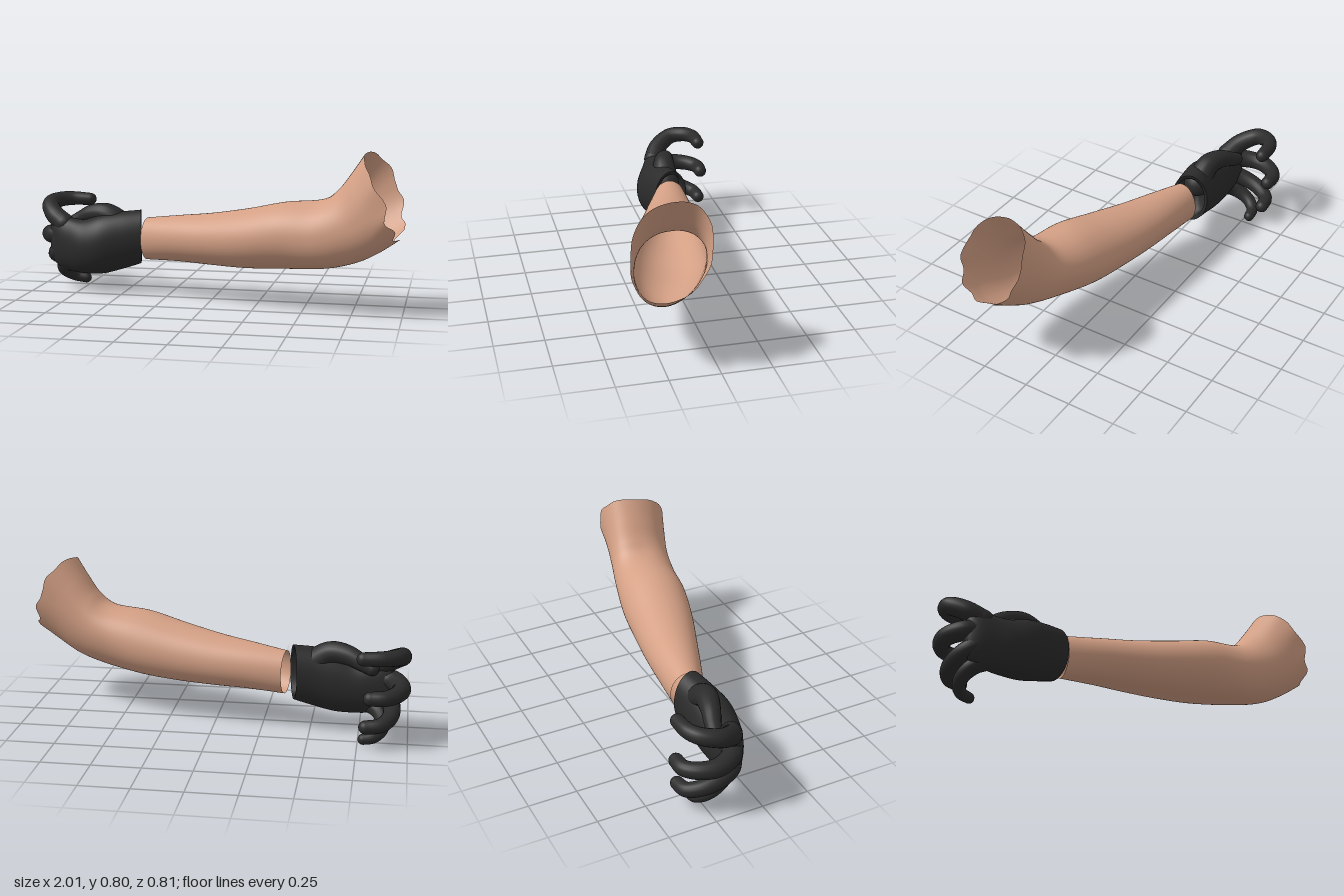
import * as THREE from 'three';

const V = (x, y, z) => new THREE.Vector3(x, y, z);
const ring = (T, B, F, K, e = 1) => ({ T: V(...T), B: V(...B), F: V(...F), K: V(...K), e });

// upright cross-section at x, sheared so its front and back lie ahead of or behind it
function section(x, shear, yB, yT, zK, zF) {
  const y = (yB + yT) / 2, z = (zK + zF) / 2, d = shear * (zF - zK) / 2;
  return ring([x, yT, z], [x, yB, z], [x + d, y, zF], [x - d, y, zK]);
}

// point on the rounded outline through a ring's top, front, bottom and back
function outline(r, a) {
  const c = r.T.clone().add(r.B).add(r.F).add(r.K).multiplyScalar(0.25);
  const cs = Math.cos(a), sn = Math.sin(a);
  const e = cs > 0 ? r.e : 1;
  const p = c.clone();
  p.addScaledVector((cs > 0 ? r.T : r.B).clone().sub(c), Math.pow(Math.abs(cs), e));
  p.addScaledVector((sn > 0 ? r.F : r.K).clone().sub(c), Math.pow(Math.abs(sn), e));
  return p;
}

// smooth skin through a list of rings
function loft(rings, rows, sides, edit) {
  const pos = [], idx = [];
  const lines = [];
  for (let j = 0; j < sides; j++) {
    const a = j / sides * Math.PI * 2;
    lines.push(new THREE.CatmullRomCurve3(rings.map(r => outline(r, a)), false, 'catmullrom', 0.5));
  }
  for (let i = 0; i <= rows; i++) {
    for (let j = 0; j < sides; j++) {
      const p = lines[j].getPoint(i / rows);
      if (edit) edit(p, i / rows, j / sides * Math.PI * 2);
      pos.push(p.x, p.y, p.z);
      if (i < rows) {
        const k = (j + 1) % sides, a = i * sides;
        idx.push(a + j, a + k, a + sides + j, a + k, a + sides + k, a + sides + j);
      }
    }
  }
  const g = new THREE.BufferGeometry();
  g.setAttribute('position', new THREE.Float32BufferAttribute(pos, 3));
  g.setIndex(idx);
  g.computeVertexNormals();
  return g;
}

// tapered tube with round tip
function finger(name, r0, r1, pts, mat) {
  const group = new THREE.Group();
  group.name = name;
  const curve = new THREE.CatmullRomCurve3(pts.map(p => V(...p)));
  const n = 32, m = 18;
  const g = new THREE.TubeGeometry(curve, n, 1, m);
  const P = g.attributes.position, p = V(0, 0, 0);
  for (let i = 0; i <= n; i++) {
    const c = curve.getPointAt(i / n), r = r0 + (r1 - r0) * i / n;
    for (let j = 0; j <= m; j++) {
      const k = i * (m + 1) + j;
      p.fromBufferAttribute(P, k).sub(c).multiplyScalar(r).add(c);
      P.setXYZ(k, p.x, p.y, p.z);
    }
  }
  const tube = new THREE.Mesh(g, mat);
  tube.name = name + 'Tube';
  group.add(tube);
  for (const [end, r] of [[0, r0], [1, r1]]) {
    const ball = new THREE.Mesh(new THREE.SphereGeometry(r, 18, 12), mat);
    ball.name = name + (end ? 'Tip' : 'Knuckle');
    ball.position.copy(curve.getPointAt(end));
    group.add(ball);
  }
  return group;
}

export function createModel() {
  const model = new THREE.Group();
  model.name = 'glovedArm';
  const skin = new THREE.MeshStandardMaterial({ color: 0xd4a085, side: THREE.DoubleSide });
  skin.name = 'skin';
  const glove = new THREE.MeshStandardMaterial({ color: 0x2b2b2b, side: THREE.DoubleSide });
  glove.name = 'gloveBlack';
  const add = (name, geo, mat) => {
    const mesh = new THREE.Mesh(geo, mat);
    mesh.name = name;
    model.add(mesh);
  };

  // arm: open at the wrist, bent at the elbow, ragged at the upper end
  const armRings = [
    section(-0.37, -0.22, 0.185, 0.41, -0.165, 0.005),
    section(-0.18, -0.25, 0.19, 0.435, -0.15, 0.08),
    section(0, -0.25, 0.187, 0.458, -0.13, 0.15),
    section(0.2, -0.25, 0.187, 0.495, -0.1, 0.225),
    section(0.4, -0.22, 0.2, 0.54, -0.068, 0.285),
    ring([0.59, 0.56, 0.15], [0.62, 0.222, 0.17], [0.55, 0.38, 0.32], [0.62, 0.42, -0.025]),
    ring([0.67, 0.615, 0.16], [0.77, 0.262, 0.2], [0.71, 0.43, 0.347], [0.75, 0.48, 0.01], 0.93),
    ring([0.735, 0.7, 0.18], [0.88, 0.32, 0.23], [0.82, 0.5, 0.378], [0.86, 0.56, 0.028], 0.85),
    ring([0.8, 0.797, 0.195], [0.97, 0.385, 0.24], [0.91, 0.57, 0.405], [0.96, 0.63, 0.035], 0.78),
  ];
  add('arm', loft(armRings, 64, 72, (p, t, a) => {
    const s = Math.max(0, (t - 0.88) / 0.12) * (1 - Math.cos(a)) / 2;
    const w = Math.sin(9 * a) * 0.7 + Math.sin(5 * a + 1) * 0.3;
    p.x = Math.min(1, p.x + 0.026 * s * w);
    p.y += 0.014 * s * w;
  }), skin);

  // glove body from knuckles to cuff
  const cuff = section(-0.41, 0.26, 0.16, 0.448, -0.19, 0);
  add('palm', loft([
    section(-0.925, 0, 0.25, 0.31, -0.125, -0.105),
    section(-0.912, 0, 0.165, 0.385, -0.155, -0.075),
    section(-0.87, 0, 0.125, 0.405, -0.165, -0.04),
    section(-0.8, 0, 0.105, 0.395, -0.17, -0.005),
    section(-0.72, 0, 0.097, 0.39, -0.175, 0.03),
    section(-0.62, 0.05, 0.1, 0.42, -0.18, 0.046),
    section(-0.51, 0.15, 0.128, 0.438, -0.182, 0.025),
    cuff,
  ], 48, 48), glove);
  add('knuckleCap', loft([
    section(-0.928, 0, 0.28, 0.28, -0.115, -0.115),
    section(-0.925, 0, 0.25, 0.31, -0.125, -0.105),
  ], 1, 48), glove);

  // cuff rim and inner lining
  add('cuffLining', loft([
    cuff,
    section(-0.413, 0.26, 0.18, 0.428, -0.174, -0.016),
    section(-0.5, 0.15, 0.17, 0.42, -0.165, -0.005),
    section(-0.52, 0, 0.295, 0.295, -0.08, -0.08),
  ], 3, 48), glove);

  // thumb and curled fingers
  const digits = [
    ['thumb', 0.072, 0.036, [[-0.5, 0.35, -0.09], [-0.6, 0.417, -0.1], [-0.69, 0.415, -0.125], [-0.76, 0.385, -0.15], [-0.81, 0.362, -0.165]]],
    ['indexFinger', 0.055, 0.034, [[-0.84, 0.36, -0.095], [-0.91, 0.405, -0.135], [-0.958, 0.45, -0.22], [-0.93, 0.465, -0.295], [-0.87, 0.468, -0.335], [-0.77, 0.465, -0.342]]],
    ['middleFinger', 0.055, 0.036, [[-0.84, 0.3, -0.095], [-0.92, 0.295, -0.135], [-0.96, 0.285, -0.23], [-0.935, 0.28, -0.315], [-0.88, 0.275, -0.365], [-0.81, 0.272, -0.368]]],
    ['ringFinger', 0.052, 0.034, [[-0.83, 0.23, -0.085], [-0.89, 0.2, -0.12], [-0.915, 0.17, -0.2], [-0.905, 0.145, -0.28], [-0.86, 0.125, -0.34], [-0.79, 0.118, -0.352]]],
    ['littleFinger', 0.047, 0.028, [[-0.79, 0.16, -0.09], [-0.85, 0.13, -0.13], [-0.873, 0.095, -0.19], [-0.865, 0.065, -0.24], [-0.83, 0.04, -0.275], [-0.78, 0.029, -0.282]]],
  ];
  for (const [name, r0, r1, pts] of digits) model.add(finger(name, r0, r1, pts, glove));

  return model;
}
